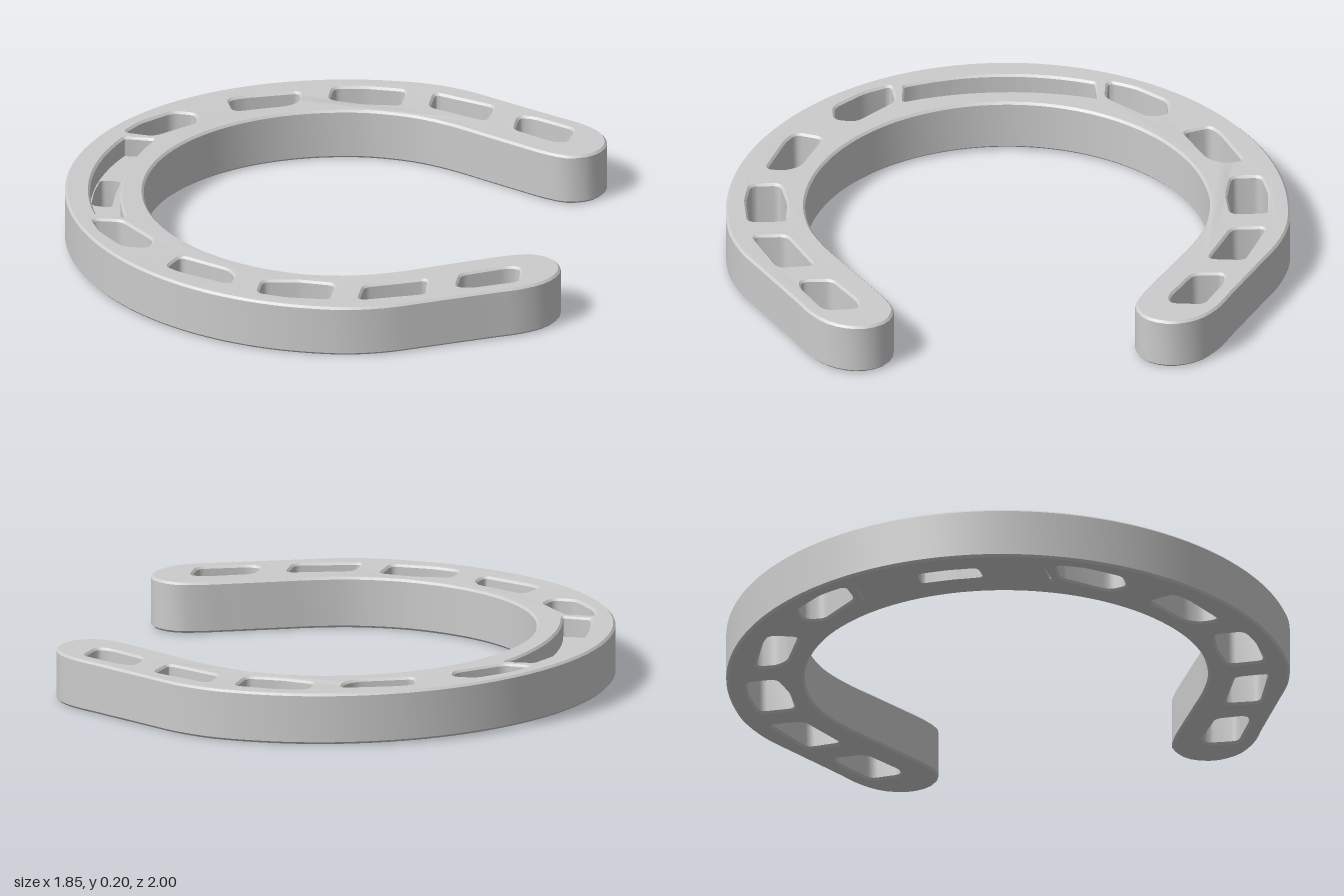
import * as THREE from 'three';
import { toCreasedNormals } from 'three/addons/utils/BufferGeometryUtils.js';

const mirror = (pts) => pts.map(([x, z]) => [x, -z]);

// Points on an ellipse centred on the shoe's bow
function arc(cx, a, b, from, to, n) {
  return Array.from({ length: n + 1 }, (_, i) => {
    const t = from + (to - from) * i / n;
    return [cx + a * Math.cos(t), b * Math.sin(t)];
  });
}

// Polygon with rounded corners
function rounded(pts, radius, PathType = THREE.Path) {
  const path = new PathType();
  const v = pts.map(([x, y]) => new THREE.Vector2(x, y));
  v.forEach((p, i) => {
    const toward = (q) => p.clone().lerp(q, Math.min(0.45, radius / p.distanceTo(q)));
    const a = toward(v[(i + v.length - 1) % v.length]);
    const b = toward(v[(i + 1) % v.length]);
    if (i === 0) path.moveTo(a.x, a.y); else path.lineTo(a.x, a.y);
    path.quadraticCurveTo(p.x, p.y, b.x, b.y);
  });
  path.closePath();
  return path;
}

// Outline, counter-clockwise so that the hole walls face inwards:
// outer bow, straight heel with round tip, inner bow, then the other half
function shoeOutline() {
  const half = [
    ...arc(0.1, 1.025, 1, Math.PI, Math.PI * 0.46, 14),
    [0.36, 0.955], [0.5, 0.885], [0.61, 0.828], [0.72, 0.771], [0.815, 0.722],
    [0.893, 0.65], [0.923, 0.55], [0.885, 0.462], [0.8, 0.428], [0.715, 0.453],
    [0.62, 0.502], [0.48, 0.578], [0.345, 0.65], [0.21, 0.7],
    ...arc(0.08, 0.725, 0.718, Math.PI * 0.51, Math.PI, 12),
  ];
  const loop = [...mirror(half), ...half.slice(1, -1).reverse()];
  const curve = new THREE.CatmullRomCurve3(
    loop.map(([x, y]) => new THREE.Vector3(x, y, 0)), true, 'centripetal');
  return new THREE.Shape(
    curve.getSpacedPoints(260).slice(0, -1).map((p) => new THREE.Vector2(p.x, p.y)));
}

// Nail holes of one branch, heel to toe
const NAIL_HOLES = [
  [[0.58, 0.75], [0.63, 0.75], [0.79, 0.67], [0.78, 0.555], [0.73, 0.555], [0.58, 0.64]],
  [[0.255, 0.91], [0.48, 0.825], [0.468, 0.7], [0.255, 0.79]],
  [[-0.107, 0.905], [0, 0.925], [0.15, 0.92], [0.15, 0.79], [0.02, 0.78], [-0.107, 0.8]],
  [[-0.46, 0.735], [-0.41, 0.77], [-0.22, 0.845], [-0.21, 0.775], [-0.24, 0.725], [-0.425, 0.64]],
  [[-0.78, 0.385], [-0.735, 0.48], [-0.64, 0.59], [-0.555, 0.59], [-0.54, 0.52], [-0.675, 0.375]],
];

// Crescent groove between the two foremost nail holes
function groovePoints(grow) {
  const s = Math.asin(0.36);
  return [
    ...arc(0.1, 0.935 + grow, 0.935 + grow, Math.PI - s, Math.PI + s, 12),
    ...arc(0.1, 0.825 - grow, 0.95 - grow, Math.PI + s, Math.PI - s, 12),
  ];
}

// Lay the plate flat and lift the toe a little
function layFlat(geometry, y) {
  geometry.rotateX(-Math.PI / 2).translate(0, y, 0);
  const p = geometry.attributes.position;
  for (let i = 0; i < p.count; i++) {
    const x = p.getX(i);
    const lift = x < 0.2 ? 0.017 * ((0.2 - x) / 1.125) ** 2 : 0.003 * (x - 0.2);
    p.setY(i, p.getY(i) + lift);
  }
  return toCreasedNormals(geometry, 0.6);
}

export function createModel() {
  const group = new THREE.Group();
  group.name = 'horseshoe';
  const material = new THREE.MeshStandardMaterial({ color: 0xcccccc });
  const add = (name, geometry) => {
    const mesh = new THREE.Mesh(geometry, material);
    mesh.name = name;
    group.add(mesh);
  };

  // Shoe body with narrow chamfered edges
  const bevel = 0.008;
  const shape = shoeOutline();
  for (const hole of NAIL_HOLES) {
    shape.holes.push(rounded(hole, 0.025), rounded(mirror(hole), 0.025));
  }
  shape.holes.push(rounded(groovePoints(0), 0.006));
  add('shoeBody', layFlat(new THREE.ExtrudeGeometry(shape, {
    depth: 0.184 - 2 * bevel, bevelThickness: bevel, bevelSize: bevel,
    bevelOffset: -bevel, bevelSegments: 1, curveSegments: 4,
  }), bevel));

  // Sunken groove floor, pierced by the toe hole
  const floor = rounded(groovePoints(0.015), 0.006, THREE.Shape);
  floor.holes.push(rounded(
    [[-0.825, 0.11], [-0.75, 0.115], [-0.755, 0], [-0.75, -0.115], [-0.825, -0.11], [-0.832, 0]], 0.02));
  add('grooveFloor', layFlat(new THREE.ExtrudeGeometry(floor, {
    depth: 0.11, bevelEnabled: false, curveSegments: 4,
  }), 0.001));

  return group;
}
